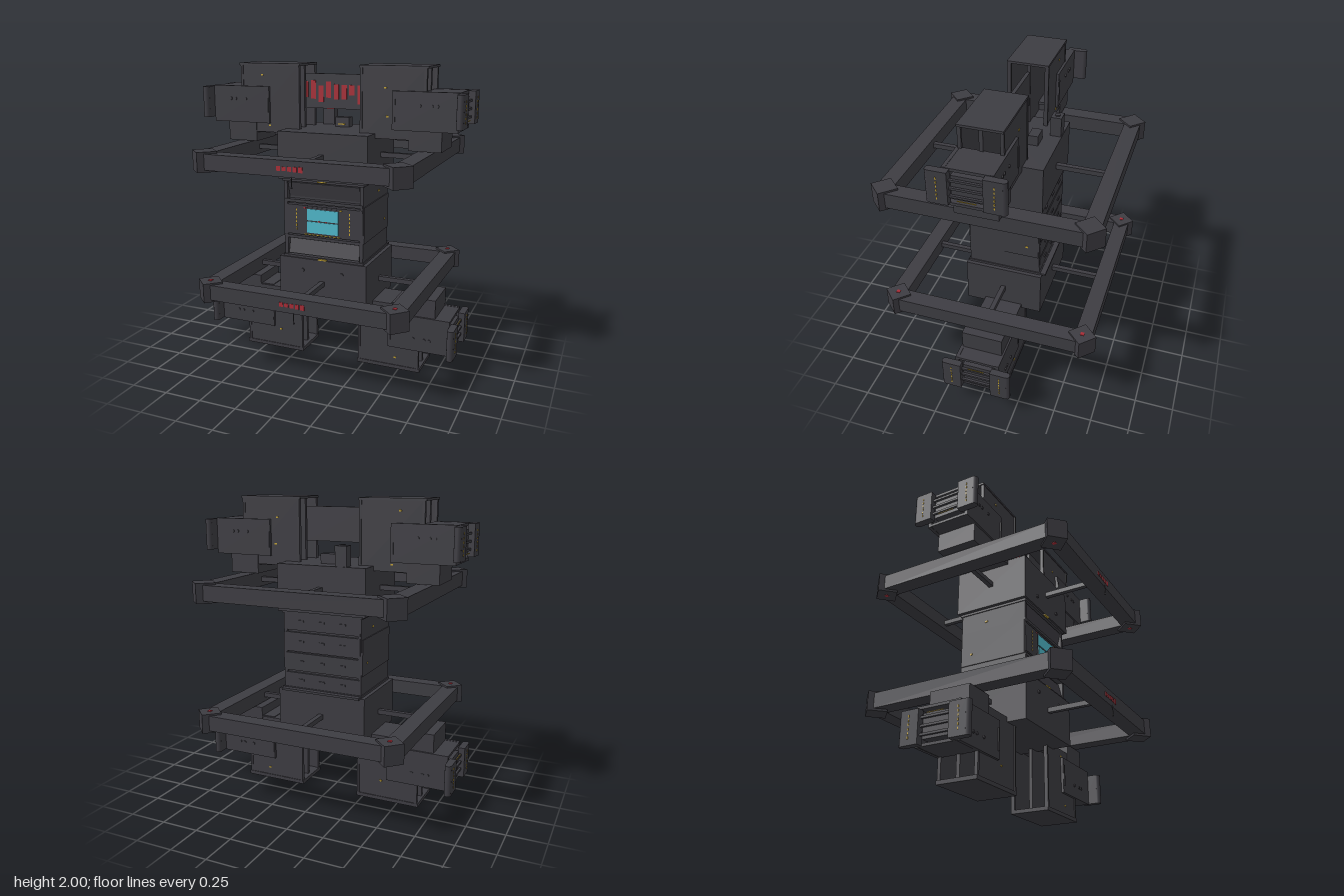
import * as THREE from 'three';

const mat = (name, color) => {
  const m = new THREE.MeshStandardMaterial({ color });
  m.name = name;
  return m;
};

export function createModel() {
  const hull = mat('charcoal hull', 0x3d3c42);
  const red = mat('red marking', 0xa82c36);
  const yellow = mat('yellow light', 0xc2a233);
  const cyan = mat('cyan glass', 0x50b9cb);
  const root = new THREE.Group();
  root.name = 'station';

  const group = (name, parent = root) => {
    const g = new THREE.Group();
    g.name = name;
    parent.add(g);
    return g;
  };
  // Box given by two opposite corners, in any order
  const box = (parent, name, x0, x1, y0, y1, z0, z1, m = hull) => {
    const geo = new THREE.BoxGeometry(Math.abs(x1 - x0), Math.abs(y1 - y0), Math.abs(z1 - z0));
    const mesh = new THREE.Mesh(geo, m);
    mesh.position.set((x0 + x1) / 2, (y0 + y1) / 2, (z0 + z1) / 2);
    mesh.name = name;
    parent.add(mesh);
    return mesh;
  };
  const cylinder = (parent, name, r, len, x, y, z, axis = 'y', m = hull) => {
    const mesh = new THREE.Mesh(new THREE.CylinderGeometry(r, r, len, 12), m);
    mesh.position.set(x, y, z);
    if (axis === 'z') mesh.rotation.x = Math.PI / 2;
    if (axis === 'x') mesh.rotation.z = Math.PI / 2;
    mesh.name = name;
    parent.add(mesh);
  };

  // Hollow thruster pod with its outer module; s picks the side, Y maps height
  const pod = (s, Y) => {
    const g = group('thrusterPod');
    const b = (name, x0, x1, y0, y1, z0, z1, m) => box(g, name, s * x0, s * x1, Y(y0), Y(y1), z0, z1, m);
    b('podCap', 0.205, 0.645, 1.985, 2, -0.135, 0.135);
    b('podFloor', 0.215, 0.635, 1.55, 1.565, -0.13, 0.13);
    b('podFin', 0.23, 0.63, 1.56, 1.99, -0.012, 0.012);
    for (const f of [-1, 1]) {
      b('podWall', 0.215, 0.63, 1.55, 1.99, f * 0.115, f * 0.13);
      b('podFlange', 0.21, 0.225, 1.55, 1.99, f * 0.11, f * 0.136);
      b('podFlange', 0.62, 0.637, 1.85, 1.99, f * 0.112, f * 0.134);
      b('modulePlate', 0.425, 0.84, 1.61, 1.85, f * 0.125, f * 0.147);
      // Rounded pads with rows of lights
      b('endPad', 0.84, 0.885, 1.64, 1.845, f * 0.1, f * 0.21);
      cylinder(g, 'padEdge', 0.0225, 0.205, s * 0.8625, Y(1.7425), f * 0.209);
      for (let i = 0; i < 6; i++) {
        const y = 1.67 + i * 0.025;
        b('padLight', 0.884, 0.888, y, y + 0.014, f * 0.16, f * 0.166, yellow);
      }
      // Ports on the module plates
      for (const x of [0.6, 0.675, 0.71]) cylinder(g, 'port', 0.01, 0.008, s * x, Y(1.765), f * 0.149, 'z');
      b('plateStep', 0.43, 0.445, 1.66, 1.8, f * 0.147, f * 0.152);
    }
    b('moduleTop', 0.62, 0.84, 1.83, 1.848, -0.14, 0.14);
    b('moduleBase', 0.425, 0.84, 1.612, 1.63, -0.14, 0.14);
    b('moduleCore', 0.62, 0.845, 1.66, 1.81, -0.095, 0.095);
    for (const y of [1.68, 1.73, 1.78]) b('endRung', 0.85, 0.865, y, y + 0.014, -0.12, 0.12);
    b('rungLight', 0.865, 0.869, 1.665, 1.67, -0.055, 0.055, yellow);
    // Foot between the pod and the ring
    b('podFoot', 0.53, 0.74, 1.485, 1.615, -0.135, 0.135);
    b('podFootStep', 0.44, 0.53, 1.545, 1.615, -0.12, 0.12);
  };

  // Square ring with diamond corner posts, struts and antenna
  const ring = (y0, Y) => {
    const g = group('dockingRing');
    const y1 = y0 + 0.1, mid = y0 + 0.05;
    for (const f of [-1, 1]) {
      box(g, 'crossBeam', -0.62, 0.62, y0, y1, f * 0.58, f * 0.685);
      box(g, 'sideBeam', f * 0.58, f * 0.687, y0, y1, -0.62, 0.62);
      box(g, 'longStrut', -0.016, 0.016, mid - 0.016, mid + 0.016, f * 0.25, f * 0.59);
      box(g, 'sideStrut', f * 0.3, f * 0.59, mid - 0.016, mid + 0.016, -0.016, 0.016);
      for (const s of [-1, 1]) {
        const post = box(g, 'cornerPost', -0.063, 0.063, y0 - 0.015, y1 + 0.012, -0.063, 0.063);
        post.position.x = s * 0.625;
        post.position.z = f * 0.627;
        post.rotation.y = Math.PI / 4;
        // Red beacon on the face looking at the other ring
        const yb = Y(1.364);
        box(g, 'cornerBeacon', s * 0.625 - 0.012, s * 0.625 + 0.012, yb - 0.003, yb + 0.003,
          f * 0.627 - 0.012, f * 0.627 + 0.012, red);
      }
    }
    // Red marks on the front beam
    [0.028, 0.024, 0.028, 0.03, 0.034].forEach((h, i) => {
      const x = -0.1 + i * 0.036;
      box(g, 'ringMark', x, x + 0.026, mid - h / 2, mid + h / 2, 0.684, 0.688, red);
    });
    cylinder(g, 'antenna', 0.003, 0.07, 0, y0 - 0.03, 0.69);
    cylinder(g, 'antennaTip', 0.006, 0.008, 0, y0 - 0.06, 0.69);
  };

  // Hub blocks, pods and rings in mirrored upper and lower halves
  for (const upper of [true, false]) {
    const Y = upper ? y => y : y => 2.005 - Math.min(y, 2.005);
    const H = upper ? Y : y => Math.max(0, 2.01 - y - 0.01 * (y > 1.99));
    const g = group(upper ? 'upperHub' : 'lowerHub');
    box(g, 'hubBlock', -0.31, 0.31, H(1.27), H(1.58), -0.262, 0.26);
    box(g, 'hubCollar', -0.285, 0.285, H(1.255), H(1.275), -0.25, 0.25);
    for (const s of [-1, 1]) {
      cylinder(g, 'hubPort', 0.012, 0.012, s * 0.14, H(1.35), 0.262, 'z');
      pod(s, H);
    }
    box(g, 'collarLight', -0.03, 0.03, H(1.262), H(1.27), 0.249, 0.262, yellow);
    ring(upper ? 1.378 : 0.53, upper ? Y : y => 0.643);
  }
  box(root, 'rearLedge', -0.28, 0.28, 0.735, 0.75, -0.285, -0.24);

  // Middle body: side walls around a recessed core
  const body = group('middleBody');
  box(body, 'bodyCore', -0.27, 0.27, 0.74, 1.27, -0.225, 0.205);
  for (const s of [-1, 1]) {
    box(body, 'bodySide', s * 0.255, s * 0.278, 0.74, 1.27, -0.24, 0.24);
    box(body, 'sideRib', s * 0.27, s * 0.285, 0.88, 1.12, -0.235, 0.235);
    box(body, 'sideLight', s * 0.284, s * 0.288, 0.95, 0.962, -0.165, -0.15, yellow);
    box(body, 'sideLight', s * 0.277, s * 0.281, 1.17, 1.182, -0.06, -0.04, yellow);
  }
  for (const [a, b] of [[0.75, 0.855], [0.87, 0.99], [1.0, 1.13], [1.145, 1.26]]) {
    box(body, 'rearPanel', -0.27, 0.27, a, b, -0.243, -0.22);
    for (const x of [-0.15, 0, 0.15]) box(body, 'rearVent', x - 0.02, x + 0.02, (a + b) / 2, (a + b) / 2 + 0.012, -0.25, -0.24);
  }
  box(body, 'windowPanel', -0.275, 0.275, 0.9, 1.1, 0.2, 0.243);
  for (const y of [0.87, 1.115]) box(body, 'frontRail', -0.275, 0.275, y, y + 0.02, 0.2, 0.242);
  // Slanted panels in the recesses
  for (const f of [-1, 1]) {
    const p = box(body, 'slantedPanel', -0.25, 0.25, -0.05, 0.05, -0.005, 0.005);
    p.position.set(0, 1.005 + f * 0.195, 0.22);
    p.rotation.x = f * 0.25;
  }

  // Twin window with its lights
  box(body, 'windowFrame', -0.125, 0.125, 0.91, 1.09, 0.242, 0.246);
  box(body, 'lowerWindow', -0.11, 0.11, 0.92, 0.996, 0.244, 0.25, cyan);
  box(body, 'upperWindow', -0.11, 0.11, 1.004, 1.08, 0.244, 0.25, cyan);
  for (const s of [-1, 1]) {
    for (let i = 0; i < 6; i++) {
      box(body, 'panelLight', s * 0.185, s * 0.191, 0.93 + i * 0.026, 0.945 + i * 0.026, 0.242, 0.247, yellow);
    }
    box(body, 'windowMark', s * 0.12, s * 0.135, 1.082, 1.09, 0.244, 0.249, s < 0 ? red : yellow);
    box(body, 'windowDot', s * 0.025 - 0.004, s * 0.025 + 0.004, 0.996, 1.006, 0.246, 0.252, red);
  }
  for (let i = 0; i < 9; i++) {
    const x = -0.13 + i * 0.029;
    box(body, 'sillLight', x, x + 0.018, 0.903, 0.909, 0.242, 0.248, yellow);
  }

  // Thin bridge between the upper pods, with uneven red stripes on the front
  const bridge = group('bridge');
  box(bridge, 'bridgePanel', -0.22, 0.22, 1.71, 1.935, -0.012, 0.012);
  [[-0.217, 0.015, 1.78, 1.885], [-0.18, 0.034, 1.77, 1.89], [-0.127, 0.036, 1.75, 1.858],
    [-0.074, 0.036, 1.78, 1.885], [-0.016, 0.032, 1.77, 1.868], [0.037, 0.036, 1.772, 1.865],
    [0.09, 0.036, 1.8, 1.865], [0.148, 0.034, 1.745, 1.865], [0.2, 0.02, 1.745, 1.865],
  ].forEach(([x, w, a, b]) => box(bridge, 'redStripe', x, x + w, a, b, 0.011, 0.016, red));

  // Equipment on top of the hub
  box(root, 'ventPost', -0.18, -0.1, 1.57, 1.71, -0.257, -0.187);
  box(root, 'ventBand', -0.178, -0.102, 1.685, 1.695, -0.188, -0.184, red);
  cylinder(root, 'ventCap', 0.018, 0.008, -0.14, 1.712, -0.222);
  box(root, 'roofBox', -0.05, 0.05, 1.57, 1.645, -0.15, -0.085);
  box(root, 'roofLight', -0.03, 0.02, 1.595, 1.602, -0.086, -0.081, yellow);

  // Scattered marker lights on the pods, front and back
  for (const [x, y, z] of [[-0.48, 1.925, 0.131], [0.375, 1.865, 0.131], [0.39, 1.69, 0.131], [-0.43, 1.595, 0.131],
    [-0.38, 0.14, 0.131], [0.475, 0.08, 0.131], [0.425, 0.41, 0.131]]) {
    for (const f of [-1, 1]) box(root, 'markerLight', x - 0.008, x + 0.008, y - 0.005, y + 0.005, f * (z - 0.002), f * (z + 0.003), yellow);
  }
  return root;
}
